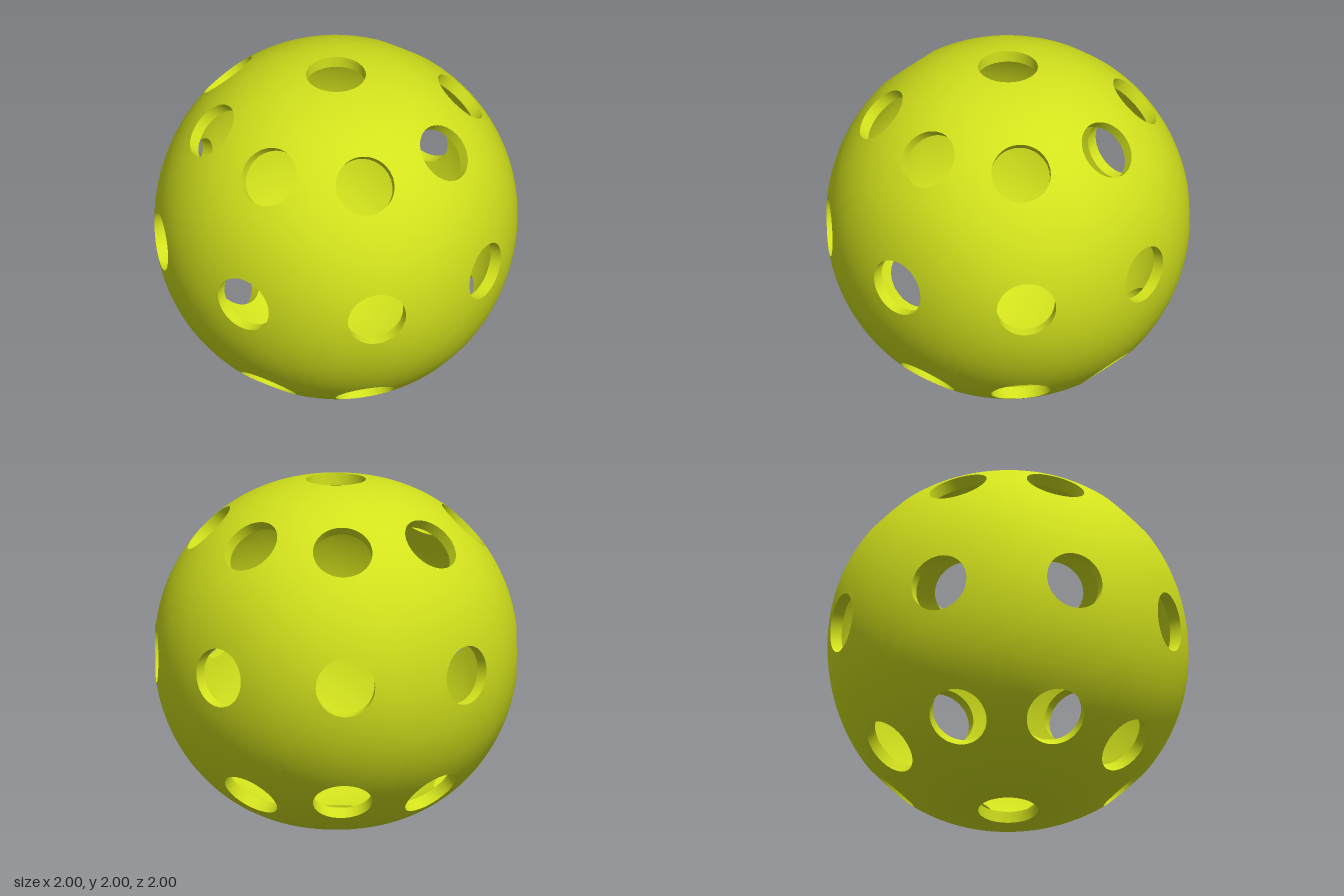
import * as THREE from 'three';
import { mergeVertices } from 'three/addons/utils/BufferGeometryUtils.js';

const HOLE = 0.17;    // hole radius
const WALL = 0.068;   // shell thickness
const SIDE = 12;      // segments along each cell side
const RINGS = 6;      // rings between a hole and its cell border
const STEP = Math.PI / 4;

// Slightly cube-like ball: radius along a unit direction
function radius(d) {
  const t = 1 - (d.x ** 4 + d.y ** 4 + d.z ** 4);
  return 1.01 * (1 + 0.074 * t - 0.04 * t * t);
}

function direction(lon, lat) {
  return new THREE.Vector3(
    Math.cos(lat) * Math.sin(lon), Math.sin(lat), Math.cos(lat) * Math.cos(lon));
}

// Direction of the hole's rim, on the way from the hole axis to a border direction
function rimDirection(axis, border, inset) {
  const side = border.clone().addScaledVector(axis, -border.dot(axis)).normalize();
  const d = axis.clone();
  for (let i = 0; i < 6; i++) {
    const a = Math.asin(HOLE / (radius(d) - inset));
    d.copy(axis).multiplyScalar(Math.cos(a)).addScaledVector(side, Math.sin(a));
  }
  return d;
}

// Cells covering the ball, each with one hole; borders run counter-clockwise
function makeCells() {
  const cells = [];
  const h = STEP / 2;
  const corners = [[-h, -h], [h, -h], [h, h], [-h, h]];
  for (const lat of [-STEP, 0, STEP]) {
    for (let k = 0; k < 8; k++) {
      const border = [];
      corners.forEach(([u, v], c) => {
        const [u2, v2] = corners[(c + 1) % 4];
        for (let s = 0; s < SIDE; s++) {
          const t = s / SIDE;
          border.push(direction(k * STEP + u + (u2 - u) * t, lat + v + (v2 - v) * t));
        }
      });
      cells.push({ axis: direction(k * STEP, lat), border });
    }
  }
  // Polar caps
  for (const sign of [1, -1]) {
    const border = [];
    for (let j = 0; j < 8 * SIDE; j++) {
      border.push(direction(h + sign * j * STEP / SIDE, sign * 1.5 * STEP));
    }
    cells.push({ axis: new THREE.Vector3(0, sign, 0), border });
  }
  return cells;
}

// Turn grids of points (rows of closed loops) into one smooth geometry
function gridGeometry(grids, flip) {
  const pos = [], index = [];
  for (const rows of grids) {
    const base = pos.length / 3, n = rows[0].length;
    rows.forEach(row => row.forEach(p => pos.push(p.x, p.y, p.z)));
    for (let i = 0; i < rows.length - 1; i++) {
      for (let j = 0; j < n; j++) {
        const k = (j + 1) % n;
        const a = base + i * n + j, b = base + i * n + k;
        const c = a + n, d = b + n;
        if (flip) index.push(a, d, c, a, b, d);
        else index.push(a, c, d, a, d, b);
      }
    }
  }
  let geo = new THREE.BufferGeometry();
  geo.setAttribute('position', new THREE.Float32BufferAttribute(pos, 3));
  geo.setIndex(index);
  geo = mergeVertices(geo, 1e-5);
  geo.computeVertexNormals();
  return geo;
}

// Loops of points from each hole rim out to the cell border
function shellGrids(cells, inset) {
  return cells.map(({ axis, border }) => {
    const rim = border.map(b => rimDirection(axis, b, inset));
    const rows = [];
    for (let i = 0; i <= RINGS; i++) {
      rows.push(border.map((b, j) => {
        const d = rim[j].clone().lerp(b, i / RINGS).normalize();
        return d.multiplyScalar(radius(d) - inset);
      }));
    }
    return rows;
  });
}

export function createModel() {
  const group = new THREE.Group();
  group.name = 'perforatedBall';
  const material = new THREE.MeshStandardMaterial({ color: 0xd2e21c });
  material.name = 'limeYellow';

  const cells = makeCells();
  const outer = shellGrids(cells, 0);
  const inner = shellGrids(cells, WALL);
  // Short tubes joining the inner and outer rims, facing the hole axis
  const walls = outer.map((rows, i) => [inner[i][0], rows[0]]);

  const add = (name, geometry) => {
    const mesh = new THREE.Mesh(geometry, material);
    mesh.name = name;
    mesh.position.y = 1;
    group.add(mesh);
  };
  add('outerShell', gridGeometry(outer, false));
  add('innerShell', gridGeometry(inner, true));
  add('holeWalls', gridGeometry(walls, false));
  return group;
}
